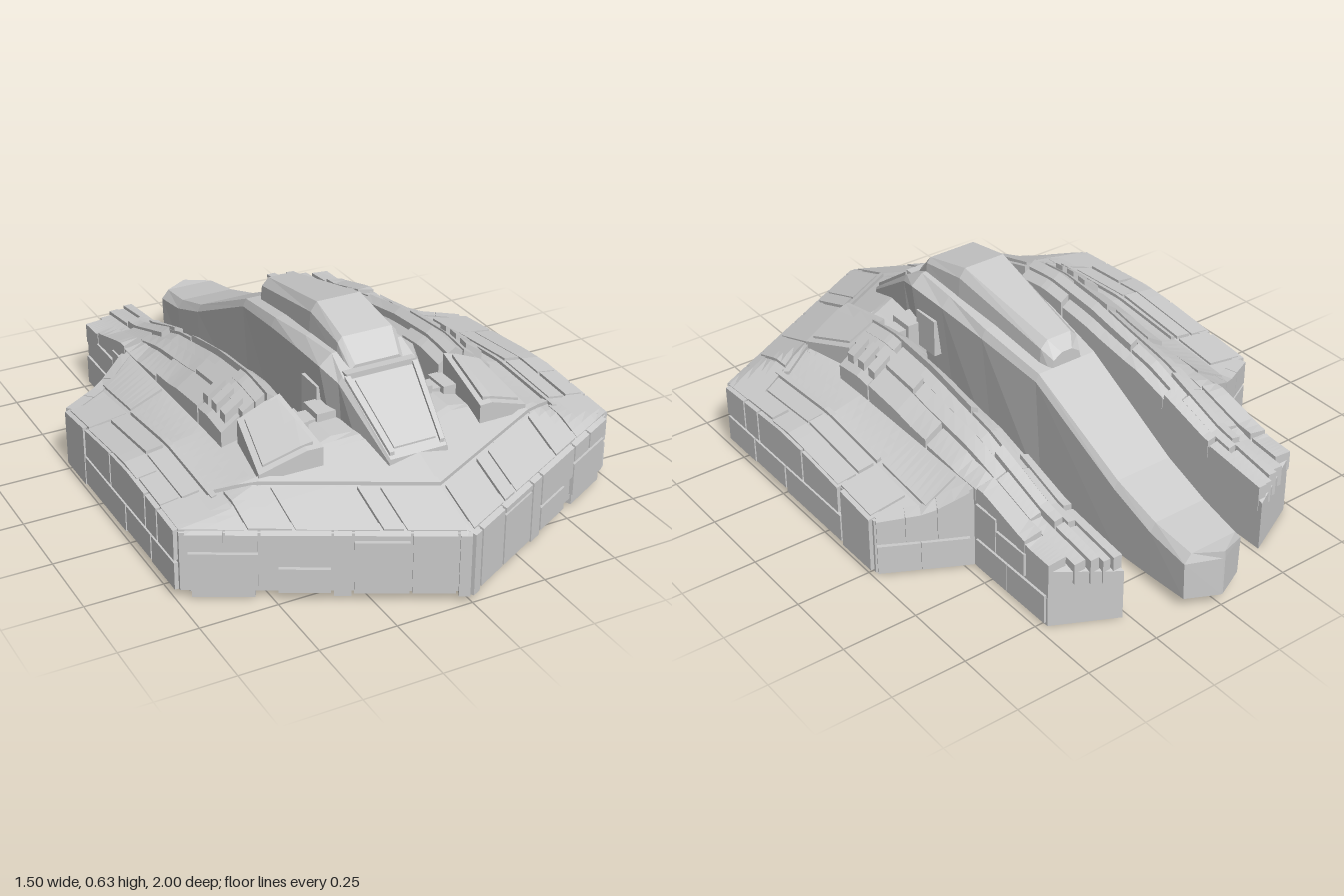
import * as THREE from 'three';

const mat = new THREE.MeshStandardMaterial({ color: 0xcccccc, flatShading: true });
const lerp = THREE.MathUtils.lerp;
const clamp = THREE.MathUtils.clamp;

// Piecewise linear lookup in [[x, y], ...]
function curve(pts, x) {
  for (let i = 1; i < pts.length; i++) {
    if (x <= pts[i][0]) {
      const [a, b] = [pts[i - 1], pts[i]];
      return lerp(a[1], b[1], clamp((x - a[0]) / (b[0] - a[0]), 0, 1));
    }
  }
  return pts[pts.length - 1][1];
}

// Height of the armoured deck: lower of front slope, side slope and rear slope
const rim = [[-0.41, 0.185], [-0.27, 0.198], [0.2, 0.248], [0.6, 0.225]];
function deck(x, z) {
  const ax = Math.abs(x);
  const a = 1 - 0.533 * ax - z;
  const front = a < 0.2 ? 0.22 + 0.35 * a : 0.29 + 0.38 * (a - 0.2);
  const edge = curve(rim, z);
  const side = curve([[0.15, 0.37], [0.45, 0.3], [0.6, edge + 0.022], [0.75, edge]], ax);
  const rear = 0.36 + Math.min(0, z + 0.2) * 0.28;
  return Math.min(front, side, rear);
}
const belly = (x, z) => 0.03 * clamp((z + 0.4) / 0.6, 0, 1);

// Height of the ridges on the prongs, highest near x = 0.33
const crest = [[-0.87, 0.222], [-0.6, 0.268], [-0.3, 0.375], [0, 0.435], [0.22, 0.455], [0.36, 0.44]];
function ridge(x, z) {
  const fall = Math.abs(Math.abs(x) - 0.33) * 0.7 * clamp((z + 0.87) / 0.8, 0, 1);
  return curve(crest, z) - fall;
}

export function createModel() {
  const model = new THREE.Group();
  const add = (name, geo) => {
    geo.computeVertexNormals();
    const mesh = new THREE.Mesh(geo, mat);
    mesh.name = name;
    model.add(mesh);
  };

  // Slab over a quad [leftBack, rightBack, rightFront, leftFront] of [x, z]
  function slab(name, q, bottom, top, nx = 1, nz = 1) {
    const geo = new THREE.BoxGeometry(1, 1, 1, nx, 1, nz).toNonIndexed();
    const p = geo.attributes.position;
    const f = (h, x, z) => (typeof h === 'function' ? h(x, z) : h);
    for (let i = 0; i < p.count; i++) {
      const u = p.getX(i) + 0.5, v = p.getZ(i) + 0.5;
      const at = k => lerp(lerp(q[0][k], q[1][k], u), lerp(q[3][k], q[2][k], u), v);
      const x = at(0), z = at(1);
      p.setXYZ(i, x, p.getY(i) > 0 ? f(top, x, z) : f(bottom, x, z), z);
    }
    add(name, geo);
  }
  // The same slab on both sides
  function pair(name, q, ...rest) {
    const m = ([x, z]) => [-x, z];
    slab(name + 'Left', q, ...rest);
    slab(name + 'Right', [m(q[1]), m(q[0]), m(q[3]), m(q[2])], ...rest);
  }
  const rect = (x0, x1, z0, z1) => [[x0, z0], [x1, z0], [x1, z1], [x0, z1]];
  const above = (h, d) => (x, z) => h(x, z) + d;

  // Symmetric loft along z from rows [z, y, halfWidth, y, halfWidth, y, halfWidth]
  function loft(name, rows) {
    const rings = rows.map(([z, y0, w0, y1, w1, y2, w2]) =>
      [[w0, y0, z], [w1, y1, z], [w2, y2, z], [-w2, y2, z], [-w1, y1, z], [-w0, y0, z]]);
    const v = [];
    const n = 6;
    for (let r = 0; r + 1 < rings.length; r++) {
      for (let i = 0; i < n; i++) {
        const j = (i + 1) % n, A = rings[r], B = rings[r + 1];
        v.push(...A[i], ...A[j], ...B[j], ...A[i], ...B[j], ...B[i]);
      }
    }
    const back = rings[0], front = rings[rings.length - 1];
    for (let i = 1; i < n - 1; i++) {
      v.push(...front[0], ...front[i], ...front[i + 1], ...back[0], ...back[i + 1], ...back[i]);
    }
    const geo = new THREE.BufferGeometry();
    geo.setAttribute('position', new THREE.Float32BufferAttribute(v, 3));
    add(name, geo);
  }

  // Hull: bow, prongs and wings
  const zf = x => 0.985 - 0.533 * x;
  pair('bowHull', [[0, 0.35], [0.27, 0.36], [0.27, zf(0.27)], [0, zf(0)]], belly, deck, 4, 24);
  pair('prongHull', [[0.27, -0.87], [0.47, -0.77], [0.47, zf(0.47)], [0.27, zf(0.27)]], belly, deck, 4, 36);
  pair('wingHull', [[0.47, -0.41], [0.6, -0.345], [0.6, zf(0.6)], [0.47, zf(0.47)]], belly, deck, 3, 30);
  pair('wingRim', [[0.6, -0.345], [0.737, -0.27], [0.737, zf(0.737)], [0.6, zf(0.6)]], belly, deck, 2, 30);

  // Armour plates along an outer wall, rows of [start, end, bottom, top], kept below the deck
  function wall(name, a, b, plates) {
    const dx = b[0] - a[0], dz = b[1] - a[1], l = Math.hypot(dx, dz);
    const pt = (t, o) => [a[0] + dx * t - dz / l * o, a[1] + dz * t + dx / l * o];
    for (const [s, e, y0, y1, out = 0.013] of plates) {
      pair(name, [pt(s, -0.03), pt(e, -0.03), pt(e, out), pt(s, out)],
        y0, (x, z) => Math.min(y1, deck(x, z) + 0.004), 2, 1);
    }
  }
  wall('frontArmour', [0, 0.985], [0.737, 0.592], [
    [0.0, 0.04, 0.02, 0.25], [0.05, 0.2, 0.03, 0.25], [0.21, 0.4, 0.03, 0.2], [0.21, 0.4, 0.208, 0.25],
    [0.41, 0.47, 0.02, 0.25], [0.48, 0.72, 0.12, 0.25], [0.48, 0.66, 0.03, 0.11], [0.73, 0.97, 0.05, 0.16],
    [0.73, 0.84, 0.17, 0.25], [0.85, 0.98, 0.17, 0.25], [0.74, 0.96, 0.01, 0.045, 0.005]]);
  wall('sideArmour', [0.737, 0.592], [0.737, -0.27], [
    [0.01, 0.2, 0.03, 0.12], [0.01, 0.14, 0.13, 0.25], [0.15, 0.24, 0.13, 0.25], [0.21, 0.42, 0.035, 0.12],
    [0.25, 0.55, 0.13, 0.25], [0.43, 0.8, 0.025, 0.12], [0.56, 0.79, 0.13, 0.25], [0.81, 0.99, 0.015, 0.25]]);
  wall('rearArmour', [0.737, -0.27], [0.47, -0.41], [
    [0.02, 0.45, 0.01, 0.11], [0.02, 0.3, 0.12, 0.25], [0.31, 0.62, 0.12, 0.27], [0.46, 0.95, 0.01, 0.11],
    [0.63, 0.95, 0.12, 0.29]]);
  wall('prongArmour', [0.465, -0.42], [0.465, -0.77], [
    [0.02, 0.45, 0.01, 0.11], [0.02, 0.3, 0.12, 0.24], [0.31, 0.7, 0.12, 0.2], [0.46, 0.98, 0.01, 0.11]]);

  // Bow rim plates, parallel to the front edge
  const frontLine = (x, a) => [x, 1 - 0.533 * x - a];
  for (const [x0, x1, h] of [[0.012, 0.16, 0.008], [0.17, 0.22, 0.011], [0.23, 0.44, 0.007], [0.45, 0.56, 0.01], [0.57, 0.735, 0.006]]) {
    pair('bowRimPlate', [frontLine(x0, 0.18), frontLine(x1, 0.18), frontLine(x1, 0.02), frontLine(x0, 0.02)],
      above(deck, -0.02), above(deck, h), 3, 6);
  }
  pair('bowTrim', [frontLine(0, 0.215), frontLine(0.57, 0.215), frontLine(0.58, 0.195), frontLine(0, 0.195)],
    above(deck, -0.02), above(deck, 0.012), 10, 1);

  // Wing deck trim and plates
  pair('wingTrim', rect(0.582, 0.598, -0.08, 0.52), above(deck, -0.02), above(deck, 0.012), 1, 12);
  for (const [x0, x1, z0, z1, h] of [[0.61, 0.735, -0.25, -0.09, 0.008], [0.61, 0.665, -0.08, 0.2, 0.011],
    [0.675, 0.74, -0.08, 0.3, 0.007], [0.61, 0.665, 0.21, 0.46, 0.007], [0.675, 0.735, 0.31, 0.46, 0.01],
    [0.48, 0.59, -0.33, -0.1, 0.009]]) {
    pair('wingPlate', rect(x0, x1, z0, z1), above(deck, -0.02), above(deck, h), 1, 8);
  }

  // Ridged strips along the prongs: long rails ahead, staggered tiles behind
  const strips = [
    [0.268, 0.298, [-0.855, -0.62, -0.4, 0.12, 0.35]],
    [0.302, 0.328, [-0.845, -0.68, -0.45, -0.2, 0.35]],
    [0.332, 0.362, [-0.83, -0.66, -0.36, 0.17, 0.34]],
    [0.366, 0.405, [-0.81, -0.6, -0.43, 0, 0.34]],
    [0.41, 0.472, [-0.775, -0.66, -0.42, -0.16, 0.16, 0.33]]];
  strips.forEach(([x0, x1, cuts], s) => {
    for (let i = 0; i + 1 < cuts.length; i++) {
      const h = [0, 0.012, -0.008, 0.006][(i + s * 2) % 4];
      pair('prongStrip', rect(x0, x1, cuts[i], cuts[i + 1] - 0.008), above(deck, -0.04),
        (x, z) => Math.max(ridge(x, z) + h, deck(x, z) + 0.006 + h / 3), 1, 8);
    }
  });
  for (const z of [0.17, 0.23, 0.29]) {
    pair('ridgeFin', rect(0.39, 0.45, z - 0.02, z + 0.015), 0.32, above(ridge, 0.03));
  }

  // Sloping pods at the front of the ridges
  const podTop = (x, z) => 0.44 - 0.25 * (z - 0.34) - 0.45 * Math.max(0, Math.abs(x) - 0.3);
  pair('pod', [[0.285, 0.34], [0.425, 0.335], [0.46, 0.55], [0.268, 0.588]], 0.27, podTop, 4, 2);
  pair('podPanel', [[0.305, 0.36], [0.41, 0.355], [0.44, 0.535], [0.29, 0.565]], 0.3, above(podTop, 0.008), 4, 2);

  // Stepped blocks closing the bays beside the spine
  pair('bayBlock', rect(0.1, 0.2, 0.33, 0.42), 0.05, 0.385);
  pair('bayBlock', rect(0.2, 0.235, 0.345, 0.41), 0.05, 0.365);
  pair('bayBlock', rect(0.235, 0.28, 0.335, 0.43), 0.05, 0.375);
  pair('spineBlock', rect(0.1, 0.16, 0.24, 0.34), 0.3, 0.43);

  // Central spine, tail to nose: broad flat back, flanks leaning in below
  loft('spine', [
    [-1, 0.04, 0.004, 0.175, 0.004, 0.2, 0.003],
    [-0.95, 0.04, 0.106, 0.17, 0.11, 0.2, 0.085],
    [-0.8, 0.03, 0.106, 0.195, 0.113, 0.225, 0.095],
    [-0.63, 0.02, 0.104, 0.255, 0.114, 0.28, 0.1],
    [-0.25, 0.01, 0.096, 0.44, 0.12, 0.465, 0.108],
    [0, 0.012, 0.1, 0.48, 0.143, 0.51, 0.128],
    [0.2, 0.02, 0.1, 0.5, 0.155, 0.535, 0.125],
    [0.36, 0.028, 0.105, 0.51, 0.162, 0.545, 0.12],
    [0.44, 0.028, 0.105, 0.485, 0.14, 0.505, 0.127],
    [0.68, 0.028, 0.095, 0.325, 0.1, 0.335, 0.095]]);
  loft('canopy', [
    [-0.25, 0.44, 0.06, 0.49, 0.05, 0.51, 0.02],
    [-0.21, 0.45, 0.075, 0.52, 0.07, 0.545, 0.045],
    [0.18, 0.52, 0.103, 0.6, 0.097, 0.63, 0.075],
    [0.36, 0.52, 0.105, 0.575, 0.1, 0.592, 0.085],
    [0.425, 0.49, 0.095, 0.51, 0.09, 0.525, 0.075]]);

  // Nose panel and its frame rails
  const nose = (x, z) => 0.505 - 0.17 * (z - 0.44) / 0.24;
  slab('nosePanel', [[-0.095, 0.46], [0.095, 0.46], [0.07, 0.655], [-0.07, 0.655]], above(nose, -0.03), above(nose, 0.006));
  pair('noseRail', [[0.107, 0.45], [0.125, 0.45], [0.093, 0.67], [0.078, 0.67]], above(nose, -0.03), above(nose, 0.012));
  slab('noseSill', rect(-0.12, 0.12, 0.425, 0.452), 0.47, 0.515);

  // Underside plates
  for (const [x0, x1, z0, z1, y] of [[0.02, 0.2, 0.45, 0.8, 0.018], [0.28, 0.45, 0.1, 0.7, 0.012],
    [0.5, 0.7, 0.35, 0.58, 0.006], [0.52, 0.7, -0.2, 0.12, 0.002]]) {
    pair('bellyPlate', rect(x0, x1, z0, z1), y, 0.045);
  }
  return model;
}
